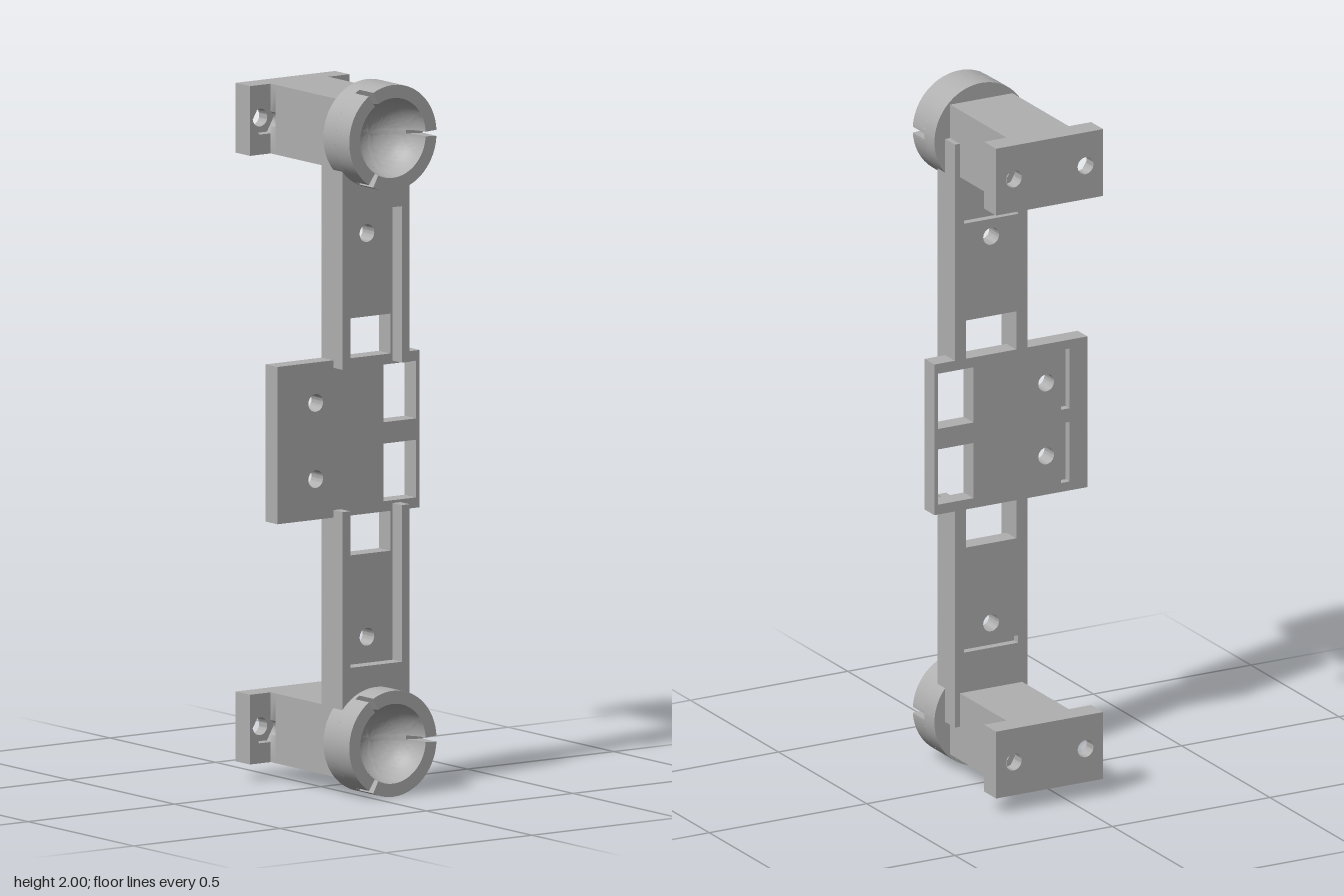
import * as THREE from 'three';
import { mergeGeometries, toCreasedNormals } from 'three/addons/utils/BufferGeometryUtils.js';

const AXIS = 0.062; // x of the long arm axis
const MID = 1;      // y of the symmetry plane

const polygon = pts => pts.map(([x, y]) => new THREE.Vector2(x, y));
const rect = (x0, y0, x1, y1) => polygon([[x0, y0], [x1, y0], [x1, y1], [x0, y1]]);
const disc = (x, y, r, n = 32) => Array.from({ length: n }, (_, i) => {
  const a = (i / n) * Math.PI * 2;
  return new THREE.Vector2(x + r * Math.cos(a), y + r * Math.sin(a));
});

// Flat slab between z0 and z1 with cut-outs
function slab(outline, holes, z0, z1) {
  const shape = new THREE.Shape(outline);
  holes.forEach(h => shape.holes.push(new THREE.Path(h)));
  const geo = new THREE.ExtrudeGeometry(shape, { depth: z1 - z0, bevelEnabled: false });
  geo.translate(0, 0, z0);
  return toCreasedNormals(geo, 0.6);
}

// Round socket with a spherical bowl and three slots in its rim
function cupGeometry() {
  const R = 0.149, bowl = 0.112, back = 0.132, slot = 0.19, front = 0.255;
  const gap = 0.115, third = (Math.PI * 2) / 3;
  const arc = (z0, z1, n) => Array.from({ length: n + 1 }, (_, i) => {
    const a0 = Math.asin((front - z0) / bowl), a1 = Math.asin(Math.min(1, (front - z1) / bowl));
    const a = a0 + ((a1 - a0) * i) / n;
    return new THREE.Vector2(Math.max(0, bowl * Math.cos(a)), front - bowl * Math.sin(a));
  });

  const base = [...polygon([[0, back], [R, back], [R, slot]]), ...arc(slot, front - bowl, 10)];
  const parts = [new THREE.LatheGeometry(base, 72)];
  const rim = [...polygon([[R, slot], [R, front]]), ...arc(front, slot, 6)];
  for (let k = 0; k < 3; k++) {
    const start = Math.PI / 2 + gap / 2 + k * third, length = third - gap;
    parts.push(new THREE.LatheGeometry(rim, 24, start, length));
    // Flat slot walls
    [start, start + length].forEach((phi, end) => {
      const cap = new THREE.ShapeGeometry(new THREE.Shape(rim));
      cap.rotateY(phi - Math.PI / 2);
      if (end) cap.index.array.reverse();
      parts.push(cap);
    });
  }
  const flat = parts.map(p => {
    const g = p.toNonIndexed();
    g.deleteAttribute('uv');
    return g;
  });
  return toCreasedNormals(mergeGeometries(flat).rotateX(Math.PI / 2), 0.6);
}

export function createModel() {
  const model = new THREE.Group();
  model.name = 'mountingFrame';
  const grey = new THREE.MeshStandardMaterial({ color: 0xb0b0b0 });
  grey.name = 'grey';
  const add = (parent, name, geo) => {
    const mesh = new THREE.Mesh(geo, grey);
    mesh.name = name;
    parent.add(mesh);
    return mesh;
  };

  // Centre plate: two windows, two bolt holes, two blind grooves in the back
  const centre = new THREE.Group();
  centre.name = 'centrePlate';
  centre.position.y = MID;
  model.add(centre);
  const plate = rect(-0.244, -0.221, 0.242, 0.221);
  const openings = [], grooves = [];
  for (const s of [-1, 1]) {
    openings.push(rect(0.118, s * 0.03, 0.23, s * 0.192), disc(-0.113, s * 0.107, 0.025));
    grooves.push(rect(-0.187, s * 0.02, -0.16, s * 0.195));
  }
  add(centre, 'plateBack', slab(plate, [...openings, ...grooves], 0.077, 0.1));
  add(centre, 'plateFront', slab(plate, openings, 0.1, 0.132));

  // Arm floor with its open window next to the centre plate
  const floor = polygon([[-0.115, 0.221], [-0.08, 0.221], [-0.08, 0.333], [0.08, 0.333],
    [0.08, 0.221], [0.115, 0.221], [0.115, 0.855], [-0.115, 0.855]]);
  const armHole = disc(0, 0.567, 0.025);
  // Raised rails around the arm recess
  const rails = polygon([[-0.115, 0.2], [-0.088, 0.2], [-0.088, 0.64], [0.088, 0.64],
    [0.088, 0.2], [0.115, 0.2], [0.115, 0.757], [-0.115, 0.757]]);
  // Foot plate and stem
  const y0 = 0.757, y1 = 0.953, boltY = 0.855, boltX = 0.114, boltR = 0.025;
  const foot = rect(-0.17, y0, 0.17, y1);
  const bolts = [-boltX, boltX].map(x => disc(x, boltY, boltR));
  const nuts = [-boltX, boltX].map(x => disc(x, boltY, 0.048, 6));
  // Stem root, with the bolt holes biting into its sides
  const half = 0.099, bite = Math.acos((boltX - half) / boltR);
  const scallop = (side, up) => Array.from({ length: 9 }, (_, i) => {
    const a = bite * (i / 4 - 1) * up;
    return [side * (boltX - boltR * Math.cos(a)), boltY + boltR * Math.sin(a)];
  });
  const root = polygon([[-half, y0], [half, y0], ...scallop(1, 1), [half, y1], [-half, y1],
    ...scallop(-1, -1)]);

  const cup = cupGeometry();
  for (const s of [1, -1]) {
    const label = s > 0 ? 'upper' : 'lower';
    const end = new THREE.Group();
    end.name = label + 'Arm';
    end.position.set(AXIS, MID, 0);
    if (s < 0) end.rotation.z = Math.PI;
    model.add(end);
    add(end, 'armBack', slab(floor, [armHole, rect(-0.086, 0.618, 0.086, 0.64)], 0.077, 0.1));
    add(end, 'armFloor', slab(floor, [armHole], 0.1, 0.132));
    add(end, 'armRails', slab(rails, [], 0.132, 0.175));
    add(end, 'footBack', slab(foot, bolts, -0.255, -0.217));
    add(end, 'footFront', slab(foot, nuts, -0.217, -0.187));
    add(end, 'stemRoot', slab(root, [], -0.187, -0.165));
    add(end, 'stem', slab(rect(-half, y0, half, y1), [], -0.165, 0.132));

    // Socket keeps the same slot layout at both ends
    add(model, label + 'Cup', cup).position.set(AXIS, MID + s * 0.851, 0);
  }
  return model;
}
